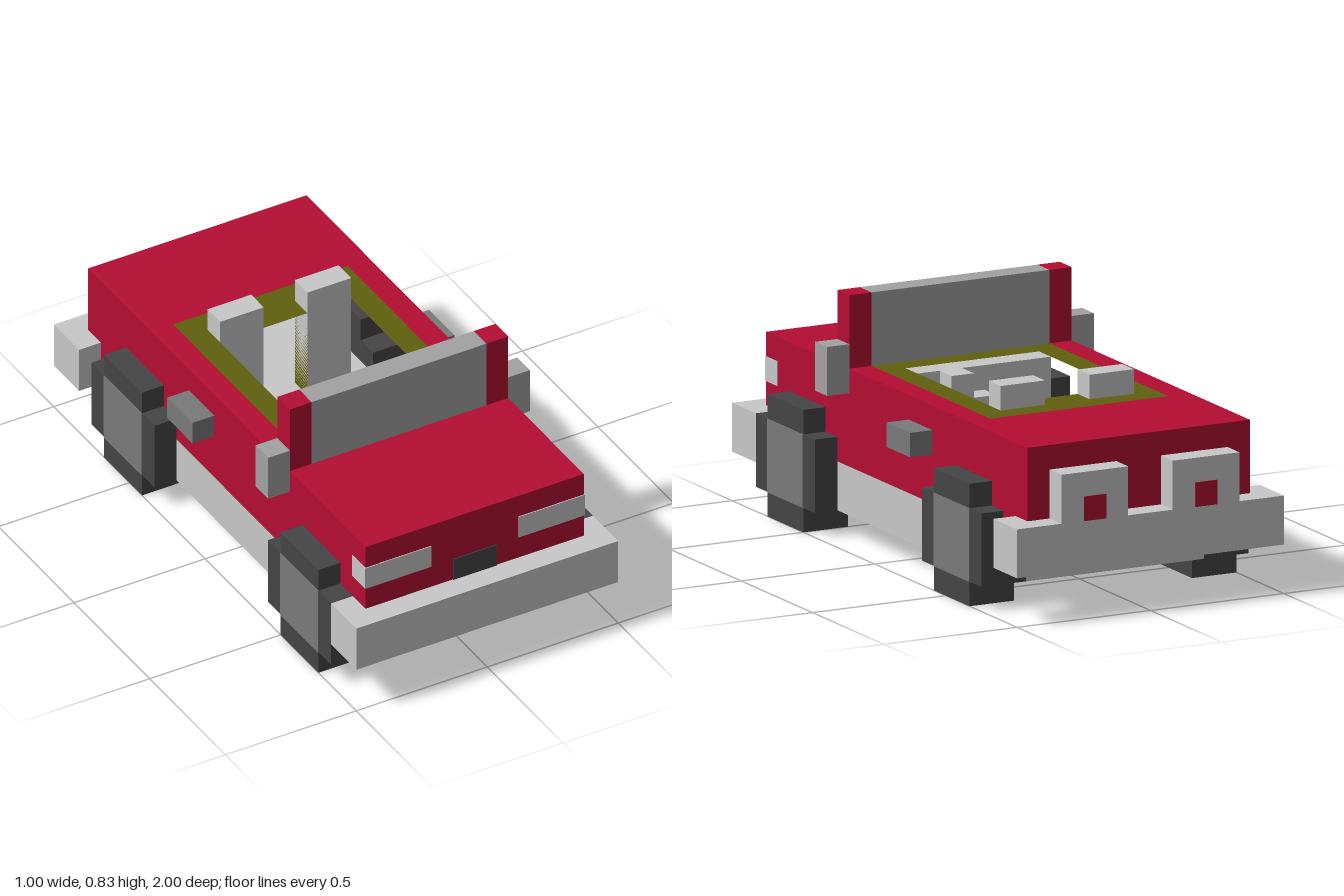
import * as THREE from 'three';

const U = 1 / 12; // size of one block

export function createModel() {
  const car = new THREE.Group();
  car.name = 'blockConvertible';

  const mat = (name, color) => {
    const m = new THREE.MeshStandardMaterial({ color });
    m.name = name;
    return m;
  };
  const red = mat('red paint', 0xb40d33);
  const light = mat('light grey', 0xc8c8c8);
  const glass = mat('mid grey', 0xa2a2a2);
  const steel = mat('steel grey', 0x7a7a7a);
  const rubber = mat('dark rubber', 0x454545);
  const olive = mat('olive trim', 0x60600f);

  // Box from block-grid ranges
  const box = (name, m, [x0, x1], [y0, y1], [z0, z1], parent = car) => {
    const g = new THREE.BoxGeometry((x1 - x0) * U, (y1 - y0) * U, (z1 - z0) * U);
    g.translate((x0 + x1) / 2 * U, (y0 + y1) / 2 * U, (z0 + z1) / 2 * U);
    const mesh = new THREE.Mesh(g, m);
    mesh.name = name;
    parent.add(mesh);
    return mesh;
  };

  // Box plus its mirror image across x = 0
  const pair = (name, m, [x0, x1], y, z, parent) => {
    box(name + 'Left', m, [x0, x1], y, z, parent);
    box(name + 'Right', m, [-x1, -x0], y, z, parent);
  };

  // Vertical-walled ring from plan outlines given as [x, z] points
  const ring = (name, m, outer, hole, y0, y1) => {
    const pts = (list) => list.map(([x, z]) => new THREE.Vector2(x * U, -z * U));
    const shape = new THREE.Shape(pts(outer));
    shape.holes.push(new THREE.Path(pts(hole)));
    const g = new THREE.ExtrudeGeometry(shape, { depth: (y1 - y0) * U, bevelEnabled: false });
    g.rotateX(-Math.PI / 2).translate(0, y0 * U, 0);
    const mesh = new THREE.Mesh(g, m);
    mesh.name = name;
    car.add(mesh);
  };
  const rect = (x, z0, z1) => [[-x, z0], [x, z0], [x, z1], [-x, z1]];

  // Body shell and cockpit lining
  ring('body', red, rect(5, -11, 11), rect(4, -6, 4), 3, 7);
  ring('cockpitLining', olive, rect(4, -6, 4),
    [[-3, -5], [-1, -5], [-1, -4], [1, -4], [1, -5], [3, -5], [3, 3], [-3, 3]], 3, 7);

  // Chassis, wide between the wheels
  box('chassis', light, [-4, 4], [1, 3], [-9, 10]);
  pair('sill', light, [4, 5], [1, 3], [-4, 5]);
  box('rearUnderside', glass, [-4, 4], [2, 3], [-10, -9]);

  // Bumpers and rear lamp housings
  box('frontBumper', light, [-6, 6], [2, 4], [10, 12]);
  box('rearBumper', light, [-6, 6], [2, 4], [-12, -10]);
  pair('rearLampHousing', light, [1, 4], [4, 6], [-12, -11]);
  pair('rearLamp', red, [2, 3], [4, 5], [-12.04, -11.95]);

  // Headlights wrapping the corners, and grille
  pair('headlight', light, [2, 5.04], [5, 6], [10, 11.04]);
  box('grille', rubber, [-1, 1], [4, 5], [10.95, 11.04]);

  // Windshield, mirrors and door handles
  box('windshield', glass, [-4, 4], [7, 10], [4, 5]);
  pair('windshieldPost', red, [4, 5], [7, 10], [4, 5]);
  pair('mirror', glass, [5, 6], [6, 8], [4, 5]);
  pair('doorHandle', steel, [5, 6], [5, 6], [-3, -1]);

  // Interior
  pair('seatBack', light, [1, 3], [3, 8], [-5, -4]);
  box('dashboard', light, [-3, 3], [3, 7], [2, 3]);
  box('steeringWheelBar', light, [0, 3], [5, 6], [1, 2]);
  box('steeringWheelTop', light, [1, 2], [6, 7], [1, 2]);

  // Wheels: stepped cross outline with a hub plate
  for (const [label, z] of [['front', 7.5], ['rear', -6.5]]) {
    const wheels = new THREE.Group();
    wheels.name = label + 'Wheels';
    car.add(wheels);
    pair('tyreTall', rubber, [4, 6], [0, 5], [z - 1.5, z + 1.5], wheels);
    for (const s of [-1, 1]) {
      const a = z + s * 1.5, b = z + s * 2.5;
      pair('tyreStep', rubber, [4, 6], [1, 4], [Math.min(a, b), Math.max(a, b)], wheels);
    }
    pair('hub', steel, [5.95, 6.03], [1, 4], [z - 1.5, z + 1.5], wheels);
  }

  return car;
}
